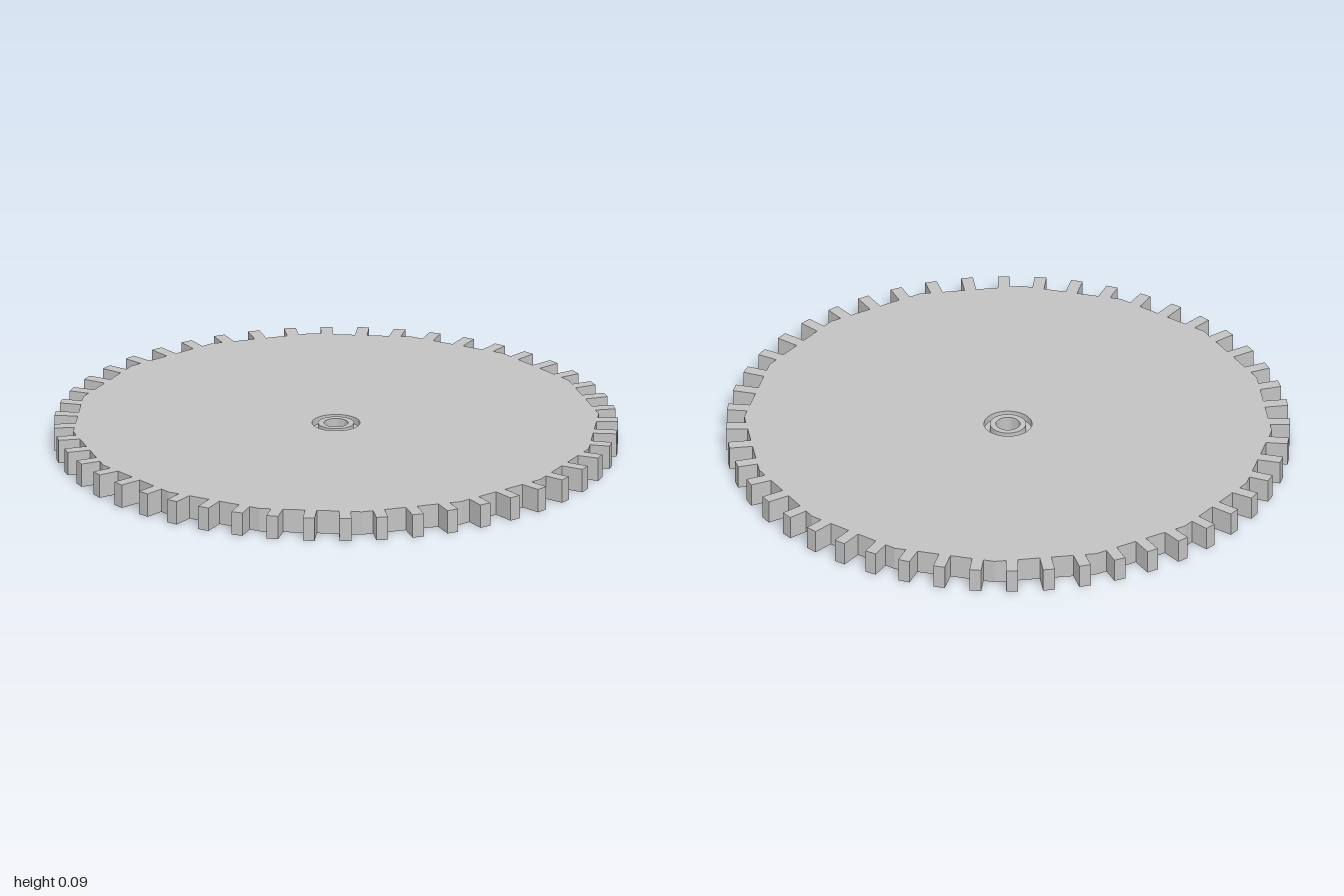
import * as THREE from 'three';
import { toCreasedNormals } from 'three/addons/utils/BufferGeometryUtils.js';

const H = 0.086;        // thickness
const TEETH = 48;
const SIDES = 16;       // sides of the disc between the teeth
const APOTHEM = 0.918;
const TIP = 1.0;
const HALF = 0.021;     // half tooth width
const HOLE = 0.085;

// Distance along direction a, shifted sideways by s, to the edge of the disc
function rootRadius(a, s) {
  let r = Infinity;
  for (let k = 0; k < SIDES; k++) {
    const d = a - (k * 2 * Math.PI) / SIDES;
    if (Math.cos(d) > 0.5) r = Math.min(r, (APOTHEM + s * Math.sin(d)) / Math.cos(d));
  }
  return r;
}

export function createModel() {
  const group = new THREE.Group();
  const steel = new THREE.MeshStandardMaterial({ color: 0xc2c2c2 });
  steel.name = 'light grey metal';

  // Toothed outline
  const pts = [];
  for (let i = 0; i < TEETH; i++) {
    const a = (i * 2 * Math.PI) / TEETH;
    const c = Math.cos(a), n = Math.sin(a);
    const add = (r, s) => pts.push(new THREE.Vector2(r * c - s * n, r * n + s * c));
    add(rootRadius(a, -HALF), -HALF);
    add(TIP, -HALF);
    add(TIP, HALF);
    add(rootRadius(a, HALF), HALF);
    // corner of the disc, between every second and third tooth
    if (i % 3 === 1) {
      const v = a + Math.PI / TEETH, R = APOTHEM / Math.cos(Math.PI / SIDES);
      pts.push(new THREE.Vector2(R * Math.cos(v), R * Math.sin(v)));
    }
  }
  const outline = new THREE.Shape(pts);
  outline.holes.push(new THREE.Path().absarc(0, 0, HOLE, 0, Math.PI * 2, true));
  const disc = new THREE.ExtrudeGeometry(outline, { depth: H, bevelEnabled: false, curveSegments: 32 });
  disc.rotateX(-Math.PI / 2);
  const wheel = new THREE.Mesh(disc, steel);
  wheel.name = 'toothedDisc';
  group.add(wheel);

  // Hub tube with a groove around it on both faces
  const profile = [
    [0.043, 0], [0.064, 0], [0.064, 0.025], [HOLE, 0.025], [HOLE, H - 0.025],
    [0.064, H - 0.025], [0.064, H], [0.043, H], [0.043, 0],
  ].map(([x, y]) => new THREE.Vector2(x, y));
  const hub = new THREE.Mesh(toCreasedNormals(new THREE.LatheGeometry(profile, 32), 0.6), steel);
  hub.name = 'hub';
  group.add(hub);

  return group;
}
